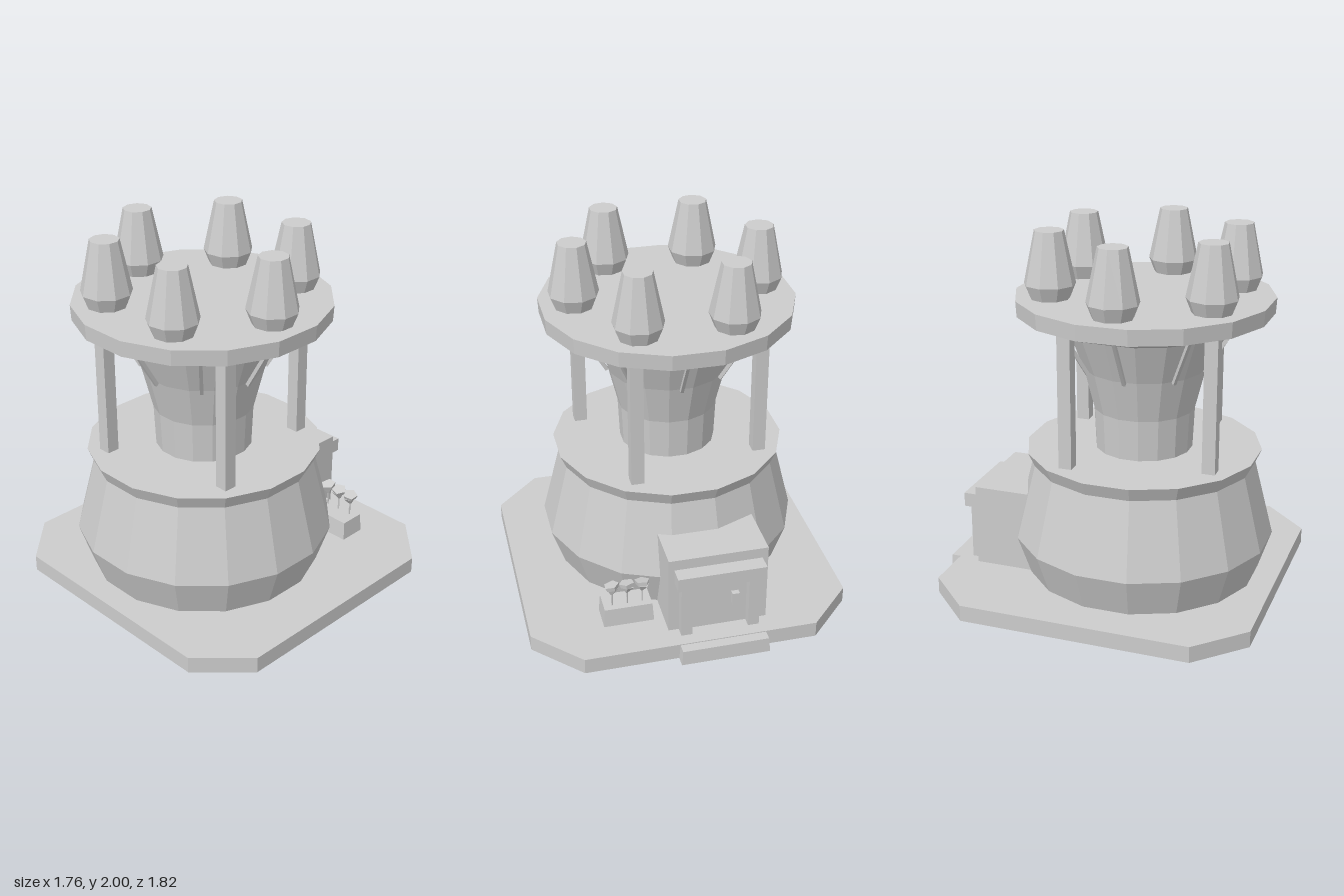
import * as THREE from 'three';

const stone = new THREE.MeshStandardMaterial({ color: 0xcccccc, flatShading: true, side: THREE.DoubleSide });
stone.name = 'pale stone';

function add(parent, name, geometry, x = 0, y = 0, z = 0) {
  const mesh = new THREE.Mesh(geometry, stone);
  mesh.name = name;
  mesh.position.set(x, y, z);
  parent.add(mesh);
  return mesh;
}

// Box given by its lower and upper limits on each axis
function block(parent, name, [x0, x1], [y0, y1], [z0, z1]) {
  return add(parent, name, new THREE.BoxGeometry(x1 - x0, y1 - y0, z1 - z0),
    (x0 + x1) / 2, (y0 + y1) / 2, (z0 + z1) / 2);
}

// Box whose top is scaled in x and z
function taperedBox(w, h, d, sx, sz) {
  const geometry = new THREE.BoxGeometry(w, h, d);
  const p = geometry.attributes.position;
  for (let i = 0; i < p.count; i++) {
    if (p.getY(i) > 0) p.setXYZ(i, p.getX(i) * sx, p.getY(i), p.getZ(i) * sz);
  }
  return geometry;
}

// Removes the bottom faces, leaving a hollow shell open underneath
function openBelow(geometry) {
  const flat = geometry.index ? geometry.toNonIndexed() : geometry;
  const p = flat.attributes.position;
  flat.computeBoundingBox();
  const limit = flat.boundingBox.min.y + 1e-4;
  const kept = [];
  for (let i = 0; i < p.count; i += 3) {
    const onBottom = [i, i + 1, i + 2].every((k) => p.getY(k) < limit);
    if (!onBottom) kept.push(i, i + 1, i + 2);
  }
  flat.clearGroups();
  flat.setIndex(kept);
  return flat;
}

// Faceted turned solid; profile points are [corner radius, height]
function turned(profile, sides, start) {
  return new THREE.LatheGeometry(profile.map(([r, y]) => new THREE.Vector2(r, y)), sides, start);
}

// Hollow platform and step, open underneath
function makePlatform(parent) {
  const s = new THREE.Shape([
    [-0.882, 0.6], [-0.635, 0.85], [0.635, 0.85], [0.882, 0.6],
    [0.882, -0.66], [0.635, -0.91], [-0.635, -0.91], [-0.882, -0.66],
  ].map(([x, y]) => new THREE.Vector2(x, y)));
  const geometry = new THREE.ExtrudeGeometry(s, { depth: 0.09, bevelEnabled: false });
  geometry.rotateX(-Math.PI / 2);
  add(parent, 'platform', openBelow(geometry));
  add(parent, 'doorStep', openBelow(taperedBox(0.486, 0.085, 0.15, 0.97, 0.94)), -0.115, 0.0425, -0.835);
}

function makeTower(parent) {
  const tower = new THREE.Group();
  tower.name = 'tower';
  tower.position.set(-0.0435, 0, 0.142);
  parent.add(tower);

  const start = Math.PI / 16;
  add(tower, 'lowerBody', turned([[0.644, 0.09], [0.716, 0.305], [0.611, 0.72],
    [0.643, 0.795], [0, 0.795]], 16, start));
  add(tower, 'column', turned([[0.265, 0.795], [0.275, 1.02], [0.332, 1.25], [0.417, 1.475]], 16, start));
  add(tower, 'upperDeck', turned([[0, 1.468], [0.414, 1.468], [0.686, 1.56], [0.691, 1.645],
    [0, 1.645]], 16, start));

  // Nine-sided tapered turrets around the deck, one corner of each toward -x
  const turret = turned([[0.107, 1.645], [0.137, 1.72], [0.078, 2], [0, 2]], 9, -Math.PI / 2);
  for (let i = 0; i < 6; i++) {
    const a = i * Math.PI / 3;
    add(tower, 'turret', turret, 0.503 * Math.cos(a), 0, 0.503 * Math.sin(a));
  }

  // Four square posts, each a quarter turn from the last
  let [px, pz] = [0.45, 0.274];
  for (let i = 0; i < 4; i++) {
    add(tower, 'post', new THREE.BoxGeometry(0.071, 0.73, 0.071), px, 1.16, pz);
    [px, pz] = [-pz, px];
  }

  // Slanting braces under the deck
  const length = Math.hypot(0.16, 0.27);
  for (let i = 0; i < 8; i++) {
    const arm = new THREE.Group();
    arm.name = 'braceArm';
    arm.rotation.y = i * Math.PI / 4;
    tower.add(arm);
    const brace = add(arm, 'brace', new THREE.BoxGeometry(0.02, length, 0.018), 0.415, 1.377, 0);
    brace.rotation.z = -Math.atan2(0.16, 0.27);
  }
}

function makeEntrance(parent) {
  const entrance = new THREE.Group();
  entrance.name = 'entrance';
  parent.add(entrance);
  block(entrance, 'porchRoom', [-0.386, 0.156], [0.091, 0.547], [-0.725, -0.3]);
  block(entrance, 'lintel', [-0.355, 0.126], [0.408, 0.487], [-0.81, -0.72]);
  for (const x of [-0.33, 0.04]) {
    block(entrance, 'doorPost', [x, x + 0.06], [0.091, 0.41], [-0.783, -0.72]);
  }
  block(entrance, 'door', [-0.27, 0.04], [0.091, 0.408], [-0.73, -0.724]);
  block(entrance, 'doorHandle', [-0.225, -0.185], [0.23, 0.3], [-0.76, -0.725]);
}

function makePlanter(parent) {
  const planter = new THREE.Group();
  planter.name = 'planter';
  planter.position.set(0.348, 0, -0.542);
  parent.add(planter);
  add(planter, 'trough', taperedBox(0.275, 0.106, 0.154, 0.95, 0.9), 0, 0.144, 0);

  // Row of broad, tilted flowers
  for (let i = -1; i <= 1; i++) {
    const flower = new THREE.Group();
    flower.name = 'flower';
    flower.position.set(i * 0.083, 0.19, -0.03);
    flower.rotation.y = 0.4 + i * 0.5;
    planter.add(flower);
    add(flower, 'stem', new THREE.CylinderGeometry(0.005, 0.005, 0.09, 5), 0, 0.045, 0);
    const cup = add(flower, 'cup', new THREE.CylinderGeometry(0.036, 0.008, 0.04, 5), 0, 0.1, 0);
    cup.rotation.z = 0.2;
    const head = add(flower, 'petals', new THREE.CylinderGeometry(0.043, 0.036, 0.025, 5), 0, 0.13, 0);
    head.rotation.x = 0.25;
  }
}

export function createModel() {
  const model = new THREE.Group();
  model.name = 'roundTower';
  makePlatform(model);
  makeTower(model);
  makeEntrance(model);
  makePlanter(model);
  return model;
}
